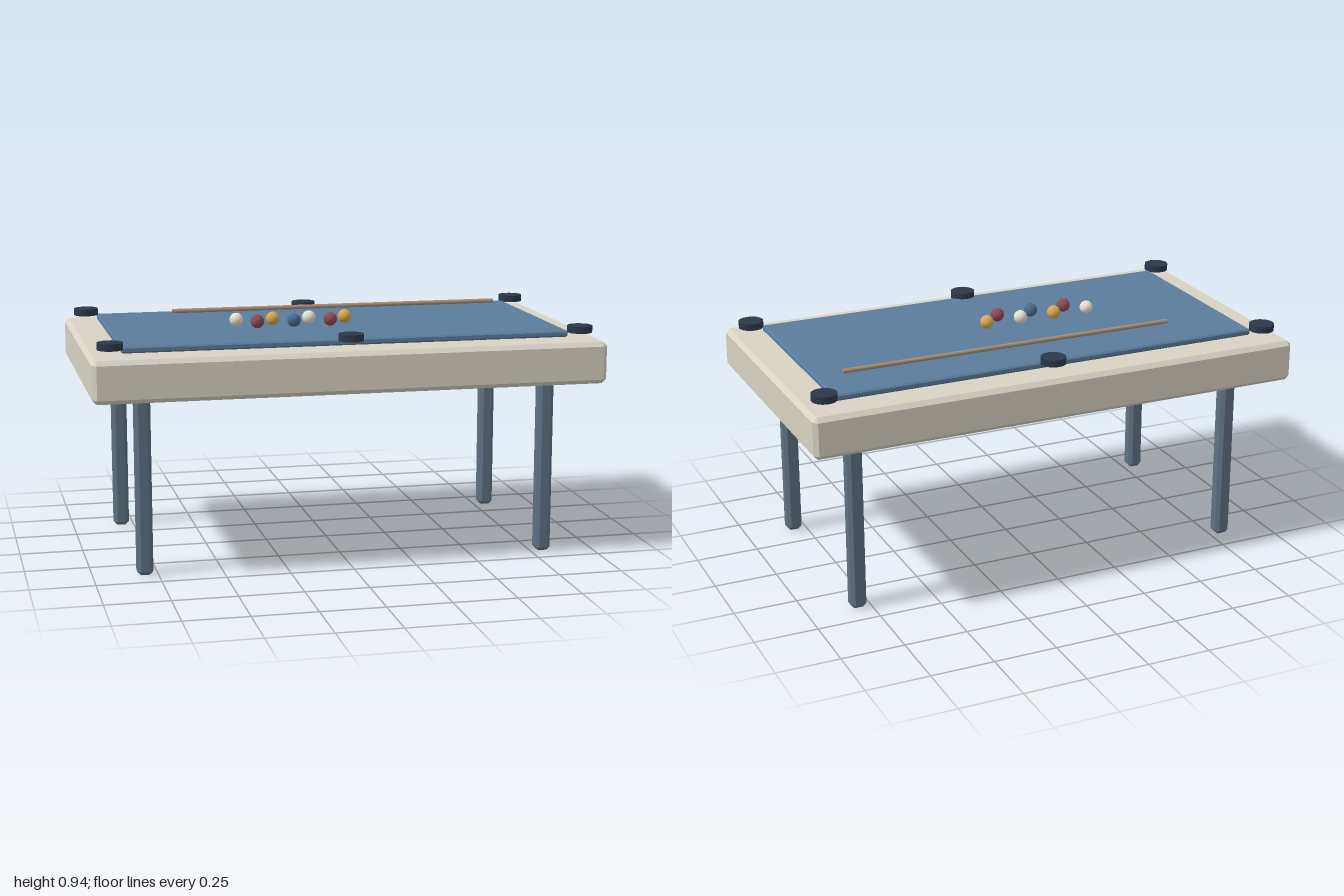
import * as THREE from 'three';
import { ConvexGeometry } from 'three/addons/geometries/ConvexGeometry.js';

const paint = (color) => new THREE.MeshStandardMaterial({ color });

// Box whose twelve edges are cut by a flat chamfer c
function chamferBox(w, h, d, c) {
  const points = [];
  for (const x of [-w / 2, w / 2])
    for (const y of [-h / 2, h / 2])
      for (const z of [-d / 2, d / 2]) {
        const cx = x - Math.sign(x) * c, cy = y - Math.sign(y) * c, cz = z - Math.sign(z) * c;
        points.push(
          new THREE.Vector3(x, cy, cz),
          new THREE.Vector3(cx, y, cz),
          new THREE.Vector3(cx, cy, z));
      }
  return new ConvexGeometry(points);
}

export function createModel() {
  const table = new THREE.Group();
  table.name = 'poolTable';

  const add = (name, geometry, material, x, y, z) => {
    const mesh = new THREE.Mesh(geometry, material);
    mesh.name = name;
    mesh.position.set(x, y, z);
    table.add(mesh);
    return mesh;
  };

  // Body and raised playing surface
  add('body', chamferBox(2, 0.164, 1.092, 0.017), paint(0xd8d2c4), 0, 0.78, 0);
  add('cloth', chamferBox(1.754, 0.025, 0.85, 0.006), paint(0x5b7c9c), 0, 0.88, 0);

  // Four chamfered legs
  const legGeometry = chamferBox(0.062, 0.72, 0.062, 0.014);
  const legMaterial = paint(0x5f7180);
  for (const x of [-0.8, 0.8])
    for (const z of [-0.383, 0.383]) add('leg', legGeometry, legMaterial, x, 0.36, z);

  // Six pocket discs along the long rails
  const pocketGeometry = new THREE.CylinderGeometry(0.049, 0.049, 0.027, 24);
  const pocketMaterial = paint(0x2b3848);
  for (const x of [-0.92, 0, 0.92])
    for (const z of [-0.437, 0.437]) add('pocket', pocketGeometry, pocketMaterial, x, 0.901, z);

  // Zigzag row of balls
  const ballGeometry = new THREE.SphereGeometry(0.027, 24, 16);
  const ballMaterials = [0xe6e0d4, 0x8c4a54, 0xd9a850, 0x4a6a8a].map(paint);
  for (let i = 0; i < 7; i++)
    add('ball', ballGeometry, ballMaterials[i % 4], -0.37 + i * 0.0737, 0.918, i % 2 ? 0.085 : 0.022);

  // Cue lying along the table
  const cue = add('cue', new THREE.CylinderGeometry(0.009, 0.009, 1.37, 12), paint(0xa89078), 0.1, 0.917, -0.263);
  cue.rotation.z = Math.PI / 2;

  return table;
}
